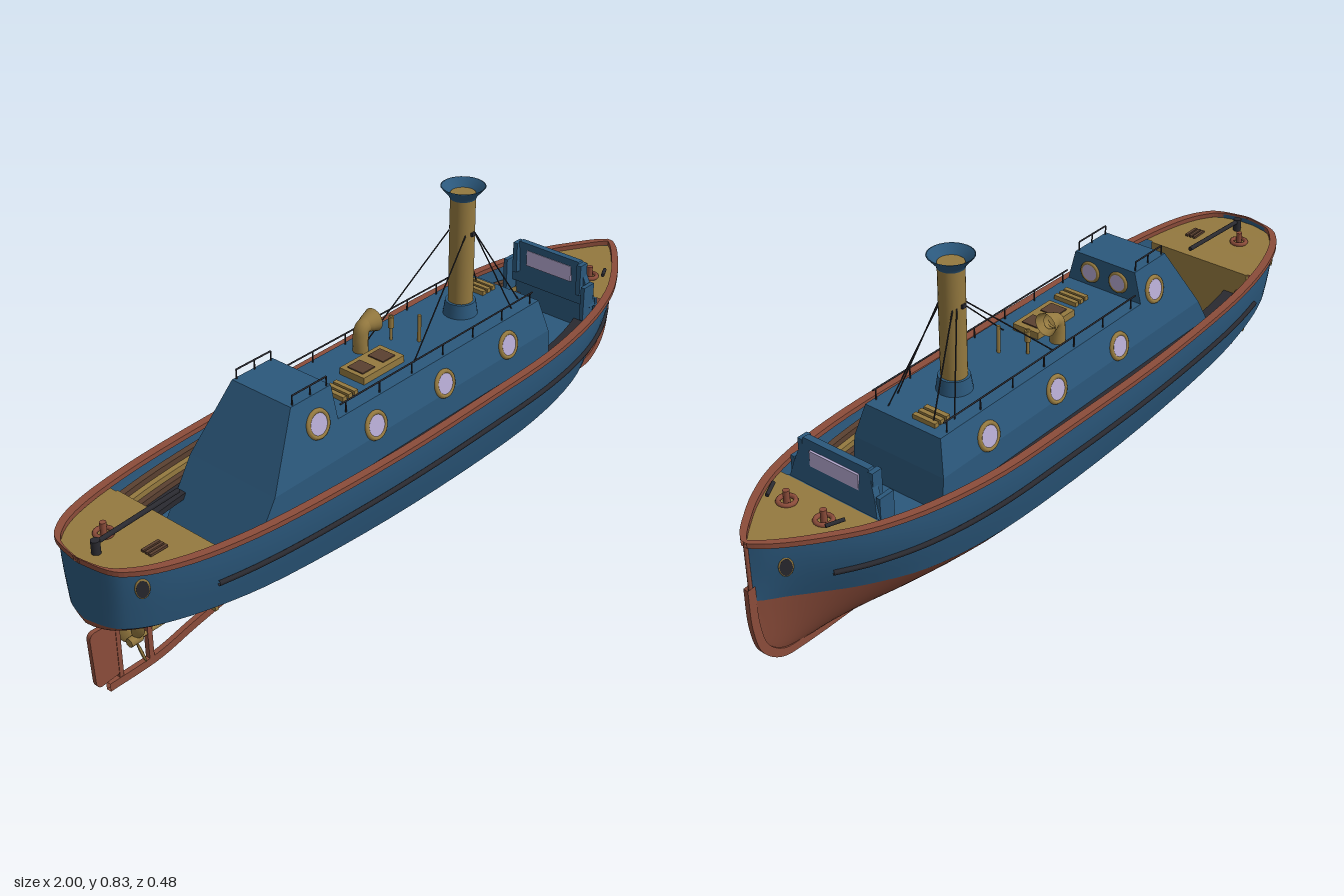
import * as THREE from 'three';

const BLUE = 0x2b587c, RED = 0x8b4c3a, TAN = 0x94793f, GLASS = 0xb3a8cf, DARK = 0x2a2a30, BROWN = 0x5a4030;

// Hull stations: x, rail half-beam, waterline half-beam, waterline y, keel y, rail y
const ST = [
  [-0.995, 0, 0, .235, .225, .40], [-.98, .075, .06, .234, .21, .398], [-.95, .115, .10, .232, .195, .396],
  [-.88, .155, .135, .225, .175, .392], [-.75, .19, .165, .21, .15, .385], [-.55, .215, .185, .19, .125, .379],
  [-.2, .23, .195, .17, .085, .374], [.15, .23, .197, .166, .068, .376], [.4, .228, .19, .172, .064, .382],
  [.6, .205, .165, .19, .062, .392], [.75, .165, .115, .212, .062, .402], [.85, .115, .07, .232, .062, .41],
  [.92, .067, .035, .246, .075, .414], [.965, .03, .014, .254, .115, .418], [.99, 0, 0, .26, .19, .42]];

// Smoothly interpolated stations
const SAMPLES = [];
for (let i = 0; i < ST.length - 1; i++) {
  const [a, b, c, d] = [ST[Math.max(i - 1, 0)], ST[i], ST[i + 1], ST[Math.min(i + 2, ST.length - 1)]];
  for (let k = 0; k < 4; k++) {
    const t = k / 4;
    SAMPLES.push(b.map((p, j) => {
      const m0 = (c[j] - a[j]) / 2, m1 = (d[j] - p) / 2;
      return (2 * t ** 3 - 3 * t * t + 1) * p + (t ** 3 - 2 * t * t + t) * m0 + (3 * t * t - 2 * t ** 3) * c[j] + (t ** 3 - t * t) * m1;
    }));
  }
}
SAMPLES.push(ST[ST.length - 1]);

function stationAt(x) {
  let i = 0;
  while (i < SAMPLES.length - 2 && SAMPLES[i + 1][0] < x) i++;
  const a = SAMPLES[i], b = SAMPLES[i + 1], t = (x - a[0]) / (b[0] - a[0]);
  return a.map((v, j) => v + (b[j] - v) * t);
}
const flare = (s, v) => s[2] + (s[1] - s[2]) * Math.sin(v * Math.PI / 2);
const hullZ = (x, y) => { const s = stationAt(x); return flare(s, (y - s[3]) / (s[5] - s[3])); };
const span = (a, b, n) => Array.from({ length: n + 1 }, (_, i) => a + (b - a) * i / n);

// Surface through rows of points
function loft(rows, closed = false, flat = false) {
  const n = rows[0].length, pos = rows.flat(2), idx = [];
  for (let i = 0; i < rows.length - 1; i++)
    for (let j = 0; j < (closed ? n : n - 1); j++) {
      const a = i * n + j, b = i * n + (j + 1) % n;
      idx.push(a, b, a + n, b, b + n, a + n);
    }
  let g = new THREE.BufferGeometry();
  g.setAttribute('position', new THREE.Float32BufferAttribute(pos, 3));
  g.setIndex(idx);
  if (flat) g = g.toNonIndexed();
  g.computeVertexNormals();
  return g;
}

// Tapered block from levels of [y, x0, x1, half width], closed on top
function house(levels) {
  const rows = levels.map(([y, a, b, z]) => [[a, y, z], [b, y, z], [b, y, -z], [a, y, -z]]);
  const [y, a, b] = levels[levels.length - 1];
  rows.push(Array(4).fill([(a + b) / 2, y, 0]));
  return loft(rows, true, true);
}

// Rectangular bar following a path in the xy plane
function bar(points, h, w) {
  const c = new THREE.CatmullRomCurve3(points.map(p => new THREE.Vector3(p[0], p[1], 0)), false, 'centripetal');
  return loft(span(0, 1, 60).map(t => {
    const p = c.getPoint(t), d = c.getTangent(t), nx = -d.y * h / 2, ny = d.x * h / 2;
    return [[p.x + nx, p.y + ny, w], [p.x - nx, p.y - ny, w], [p.x - nx, p.y - ny, -w], [p.x + nx, p.y + ny, -w]];
  }), true, true);
}

export function createModel() {
  const root = new THREE.Group();
  const mats = {};
  const mat = c => mats[c] ??= new THREE.MeshStandardMaterial({ color: c, side: THREE.DoubleSide });
  const add = (name, geo, color, x = 0, y = 0, z = 0, parent = root) => {
    const m = new THREE.Mesh(geo, mat(color));
    m.name = name; m.position.set(x, y, z); parent.add(m);
    return m;
  };
  const box = (name, color, w, h, d, x, y, z) => add(name, new THREE.BoxGeometry(w, h, d), color, x, y, z);
  const cyl = (name, color, r, h, x, y, z, r2 = r) => add(name, new THREE.CylinderGeometry(r2, r, h, 24), color, x, y, z);
  const rod = (name, color, r, a, b) => {
    const A = new THREE.Vector3(...a), B = new THREE.Vector3(...b), d = B.clone().sub(A);
    const m = add(name, new THREE.CylinderGeometry(r, r, d.length(), 8), color, ...A.add(B).multiplyScalar(.5));
    m.quaternion.setFromUnitVectors(new THREE.Vector3(0, 1, 0), d.normalize());
  };
  const porthole = (name, r, x, y, z, ry, rx = 0, glass = GLASS) => {
    const g = new THREE.Group();
    g.name = name; g.position.set(x, y, z); g.rotation.set(rx, ry, 0, 'YXZ');
    add('portholeRim', new THREE.TorusGeometry(r, r * .2, 8, 28), TAN, 0, 0, 0, g);
    add('portholeGlass', new THREE.CylinderGeometry(r, r, .008, 28), glass, 0, 0, 0, g).rotation.x = Math.PI / 2;
    root.add(g);
    return g;
  };

  // Hull, rail cap and rubbing strake on both sides
  for (const s of [1, -1]) {
    add('hullTopside', loft(SAMPLES.map(p => span(0, 1, 6).map(v => [p[0], p[3] + (p[5] - p[3]) * v, s * flare(p, v)]))), BLUE);
    add('hullBottom', loft(SAMPLES.map(p => span(0, 1, 8).map(u => {
      const e = 2.2 - Math.max(0, Math.min(1, (p[0] - .4) / .5)) * .9;
      return [p[0], p[3] - (p[3] - p[4]) * (1 - u ** e), s * p[2] * u];
    }))), RED);
    add('railCap', loft(SAMPLES.map(p => {
      const x = p[0] * 1.005, o = s * (p[1] + .009), i = s * Math.max(p[1] - .013, 0);
      return [[x, p[5] + .005, o], [x, p[5] + .005, i], [x, p[5] - .008, i], [x, p[5] - .008, o]];
    }), true, true), RED);
    const strake = new THREE.CatmullRomCurve3(span(-.76, .84, 24).map(x => {
      const y = .276 + .022 * x * x + (x > 0 ? .006 * x : 0);
      return new THREE.Vector3(x, y, s * (hullZ(x, y) + .004));
    }));
    add('rubbingStrake', new THREE.TubeGeometry(strake, 80, .007, 6), DARK);
    // Stepped side benches inside the hull
    [[.013, .03, .35, BROWN], [.03, .045, .335, TAN], [.045, .06, .32, BROWN], [.06, .1, .305, DARK]].forEach(([o, i, y, c]) =>
      add('sideBench', loft(span(-.75, .73, 40).map(x => {
        const b = stationAt(x)[1];
        return [[x, y, s * (b - o)], [x, y, s * (b - i)], [x, y - .015, s * (b - i)]];
      }), false, true), c));
    // Oval hawse ports near bow and stern
    for (const x of [.93, -.93]) {
      const slope = (hullZ(x + .01, .345) - hullZ(x - .01, .345)) / .02, a = Math.atan(-slope);
      porthole('hawsePort', .019, x, .345, s * hullZ(x, .345), s > 0 ? a : Math.PI - a, 0, DARK).scale.set(.75, 1.2, 1);
    }
  }

  // Decks, floors and bulkheads
  const deck = (name, x0, x1, drop, inset, color, y) => add(name, loft(span(x0, x1, 24).map(x => {
    const p = stationAt(x), b = Math.max(p[1] - inset, 0), h = y ?? p[5] - drop;
    return [[x, h, -b], [x, h, b]];
  })), color);
  deck('aftDeck', -.99, -.75, .01, .004, TAN);
  deck('foreDeck', .73, .985, .01, .004, TAN);
  deck('cockpitFloor', -.75, -.4, 0, .05, TAN, .2);
  deck('foreWellFloor', .4, .73, 0, .045, BLUE, .285);
  box('aftBulkhead', TAN, .01, .18, .32, -.75, .285, 0);
  box('foreBulkhead', BLUE, .01, .12, .28, .73, .33, 0);
  for (let i = 0; i < 4; i++) box('floorGrating', BROWN, .008, .006, .24, -.74 + i * .02, .203, 0);

  // Cabin and wheelhouse with sloping walls
  const wallZ = y => .14 - .257 * (y - .38);
  add('cabin', house([[.2, -.32, .525, .14], [.38, -.32, .51, .14], [.47, -.32, .49, wallZ(.47)]]), BLUE);
  add('wheelhouse', house([[.17, -.665, -.295, .14], [.38, -.535, -.295, .14], [.555, -.43, -.295, wallZ(.555)]]), BLUE);
  for (const s of [1, -1]) {
    for (const [x, y] of [[-.18, .405], [.08, .405], [.34, .405], [-.36, .485]])
      porthole('sidePorthole', .032, x, y, s * wallZ(y), s > 0 ? 0 : Math.PI, -.25);
    porthole('wheelhouseFrontPorthole', .025, -.293, .51, s * .045, Math.PI / 2);
    // Handrails on cabin and wheelhouse roofs
    rod('cabinRail', DARK, .0022, [-.28, .5, s * .11], [.47, .5, s * .11]);
    for (const x of span(-.26, .46, 6)) rod('railPost', DARK, .002, [x, .465, s * .11], [x, .5, s * .11]);
    rod('roofRail', DARK, .0022, [-.42, .58, s * .09], [-.305, .58, s * .09]);
    for (const x of [-.42, -.36, -.305]) rod('railPost', DARK, .002, [x, .55, s * .09], [x, .58, s * .09]);
    // Funnel stays
    rod('funnelStay', DARK, .0018, [.285, .705, s * .027], [.02, .465, s * .08]);
    rod('funnelStay', DARK, .0018, [.32, .705, s * .027], [.41, .465, s * .09]);
    rod('funnelStay', DARK, .0018, [.325, .705, s * .02], [.465, .465, s * .07]);
    box('stayLug', DARK, .012, .01, .008, .305, .705, s * .034);
  }

  // Funnel
  cyl('funnelBase', BLUE, .046, .04, .305, .488, 0, .04);
  cyl('funnel', TAN, .033, .32, .305, .65, 0);
  add('funnelCap', new THREE.LatheGeometry([[.034, 0], [.037, .008], [.058, .032], [.054, .032], [.03, .006]].map(p => new THREE.Vector2(...p)), 32), BLUE, .305, .797, 0);

  // Ventilator cowl facing the bow
  const cowl = new THREE.CatmullRomCurve3([[-.018, .465], [-.018, .505], [-.012, .53], [.012, .54]].map(p => new THREE.Vector3(p[0], p[1], -.06)));
  add('ventPipe', new THREE.TubeGeometry(cowl, 20, .02, 16), TAN);
  const mouth = add('ventMouth', new THREE.LatheGeometry([[.019, 0], [.024, .012], [.029, .03], [.031, .034]].map(p => new THREE.Vector2(...p)), 24), TAN, -.003, .538, -.06);
  mouth.rotation.z = -Math.PI / 2;

  // Cabin roof fittings
  cyl('whistle', TAN, .008, .03, .075, .52, -.04);
  rod('whistlePipe', TAN, .004, [.075, .465, -.04], [.075, .54, -.04]);
  rod('roofPost', TAN, .005, [.115, .465, .02], [.115, .545, .02]);
  box('skylight', TAN, .15, .022, .08, -.065, .478, .02);
  for (const x of [-.105, -.03]) box('skylightPane', BROWN, .045, .004, .05, x, .49, .02);
  for (const [x, z] of [[-.205, .04], [.44, -.045]])
    for (let i = 0; i < 3; i++) box('roofGrating', TAN, .013, .012, .07, x + (i - 1) * .02, .476, z);

  // Windscreen with side wings
  add('windscreen', house([[.37, .7, .73, .14], [.43, .7, .72, .125], [.5, .692, .71, .1]]), BLUE);
  box('windscreenGlass', GLASS, .026, .046, .15, .706, .455, 0);
  for (const s of [1, -1]) {
    box('windscreenWing', BLUE, .045, .1, .012, .695, .39, s * .132);
    box('windscreenPost', BLUE, .03, .09, .014, .698, .45, s * .108);
  }

  // Deck fittings and tiller
  for (const [x, z] of [[.81, .06], [.81, -.055], [-.885, -.045]]) {
    const y = stationAt(x)[5];
    add('mooringRing', new THREE.TorusGeometry(.02, .006, 8, 20), RED, x, y - .006, z).rotation.x = Math.PI / 2;
    cyl('bollard', RED, .008, .035, x, y + .005, z);
  }
  for (const s of [1, -1]) rod('fairlead', DARK, .005, [.84, .418, s * .09], [.8, .422, s * .11]);
  for (let i = 0; i < 3; i++) box('deckHatchSlat', BROWN, .05, .006, .008, -.85, .386, .07 + i * .012);
  rod('tiller', DARK, .006, [-.95, .412, 0], [-.7, .424, 0]);
  cyl('rudderHead', DARK, .011, .04, -.945, .4, 0);

  // Keel, skeg, rudder and screw
  add('keel', bar([[.993, .3], [.99, .19], [.97, .115], [.92, .07], [.85, .06], [.4, .062], [0, .068], [-.3, .066], [-.55, .055], [-.68, .036], [-.8, .013], [-.95, .012]], .022, .007), RED);
  rod('stem', RED, .005, [.99, .25, 0], [.991, .42, 0]);
  box('rudderPost', RED, .012, .19, .012, -.913, .1, 0);
  box('sternPost', RED, .014, .16, .014, -.822, .09, 0);
  const blade = new THREE.Shape();
  blade.moveTo(-.92, .035); blade.lineTo(-.97, .03); blade.quadraticCurveTo(-.985, .03, -.987, .05);
  blade.lineTo(-.992, .17); blade.quadraticCurveTo(-.992, .188, -.975, .188); blade.lineTo(-.92, .185);
  add('rudder', new THREE.ExtrudeGeometry(blade, { depth: .012, bevelEnabled: false }), RED, 0, 0, -.006);
  rod('propellerShaft', TAN, .006, [-.88, .095, 0], [-.3, .095, 0]);
  rod('propellerHub', TAN, .012, [-.88, .095, 0], [-.845, .095, 0]);
  for (let i = 0; i < 3; i++) {
    const holder = new THREE.Group();
    holder.name = 'propellerBlade';
    holder.position.set(-.862, .095, 0);
    holder.rotation.x = Math.PI * 2 / 3 * i + 2.5;
    const b = add('blade', new THREE.SphereGeometry(1, 16, 10), TAN, 0, .033, 0, holder);
    b.scale.set(.004, .025, .016); b.rotation.y = .6;
    root.add(holder);
  }
  return root;
}
